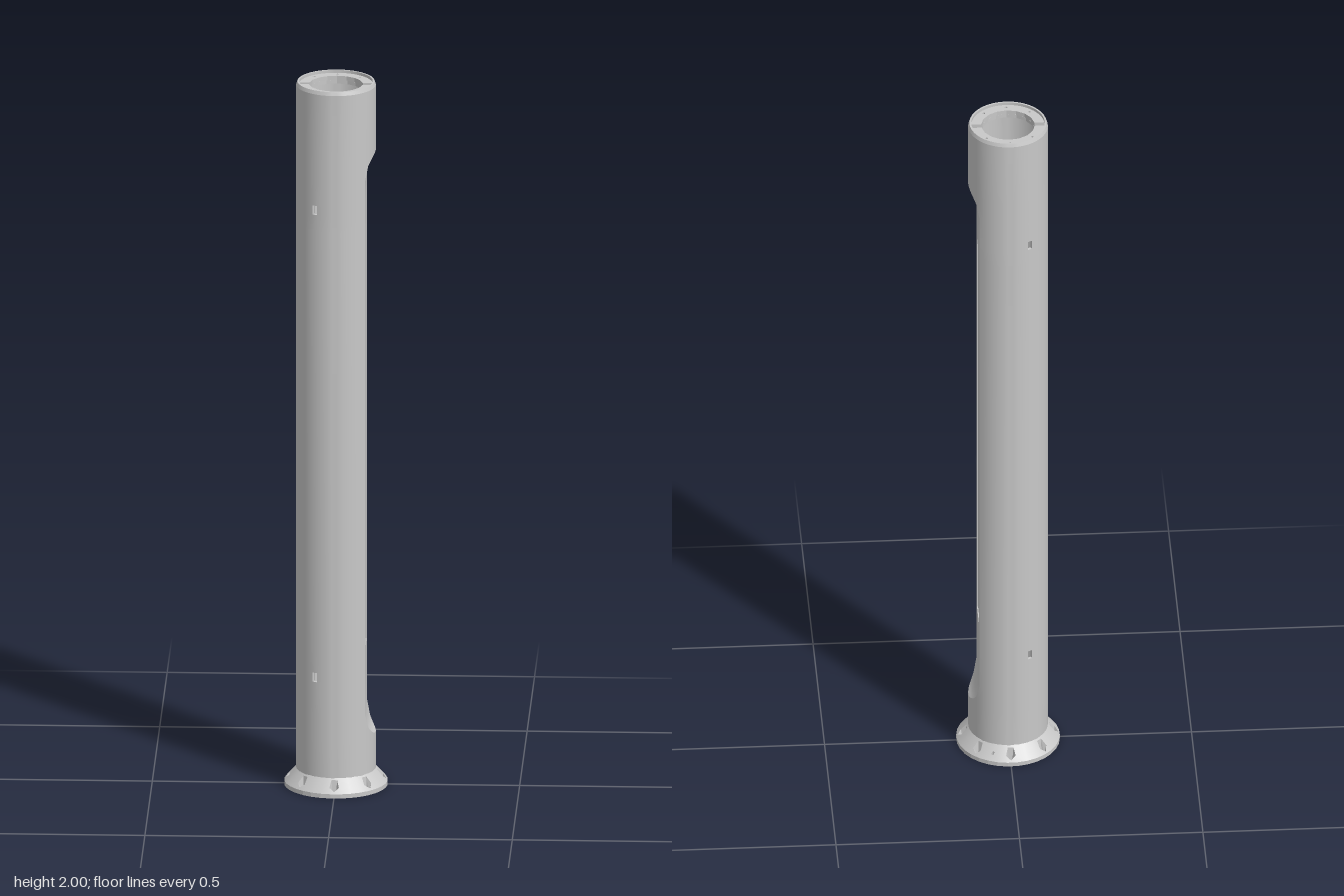
import * as THREE from 'three';
import { toCreasedNormals } from 'three/addons/utils/BufferGeometryUtils.js';

const R = 0.1085, RI = 0.1, N = 48, STEP = Math.PI * 2 / N;
const theta = i => (i + 0.5) * STEP;
const FLAT = R * Math.cos(theta(5));      // x of the milled flat
const CUT = 0.105;                        // radius of the run-out at its ends
const FLAT_LOW = 0.22, FLAT_HIGH = 1.735;
const HOLE_CELLS = [15, 23, 31], HOLE_HEIGHTS = [0.33, 1.66], HOLE_H = 0.026;

// furthest x allowed by the milled flat at height y
function cutX(y) {
  const d = Math.max(0, FLAT_LOW - y, y - FLAT_HIGH);
  return d < CUT ? FLAT + CUT - Math.sqrt(CUT * CUT - d * d) : 1;
}

// rows follow the columns so the edge of the flat stays crisp
function rowHeights(top) {
  const rows = [0, 0.4, 1.6, top];
  for (let k = 0; k <= 5; k++) {
    const rise = R * Math.cos(theta(k)) - FLAT;
    const d = Math.sqrt(Math.max(0, CUT * CUT - (CUT - rise) ** 2));
    rows.push(FLAT_LOW - d, FLAT_HIGH + d);
  }
  HOLE_HEIGHTS.forEach(h => rows.push(h - HOLE_H / 2, h + HOLE_H / 2));
  return rows.sort((a, b) => a - b);
}

// cylinder wall trimmed by the flat, with cells left out for the openings
function wall(radius, inset, top, inner) {
  const rows = rowHeights(top), pos = [];
  const point = (i, y) => [
    Math.min(radius * Math.cos(theta(i)), cutX(y) - inset), y, radius * Math.sin(theta(i))];
  for (let j = 0; j < rows.length - 1; j++) {
    const y0 = rows[j], y1 = rows[j + 1], mid = (y0 + y1) / 2;
    for (let i = 0; i < N; i++) {
      const hole = HOLE_CELLS.includes(i) && HOLE_HEIGHTS.some(h => Math.abs(h - mid) < 0.005);
      const pocket = !inner && (i < 3 || i > 43) && mid > 0.4 && mid < 1.6;
      if (hole || pocket) continue;
      const a = point(i, y0), b = point(i + 1, y0), c = point(i + 1, y1), d = point(i, y1);
      const falling = (Math.sin(theta(i + 0.5)) > 0) === (mid > 1);
      const tris = falling ? [[a, d, b], [b, d, c]] : [[a, d, c], [a, c, b]];
      tris.forEach(t => pos.push(...(inner ? t.reverse() : t).flat()));
    }
  }
  const geo = new THREE.BufferGeometry();
  geo.setAttribute('position', new THREE.Float32BufferAttribute(pos, 3));
  return toCreasedNormals(geo, 0.4);
}

// four inward-facing sides of a rectangular opening whose axis is x
function lining(depth, height, width) {
  const geo = new THREE.CylinderGeometry(Math.SQRT1_2, Math.SQRT1_2, depth, 4, 1, true)
    .rotateY(Math.PI / 4).rotateZ(Math.PI / 2).toNonIndexed().scale(-1, height, width);
  geo.computeVertexNormals();
  return geo;
}

// polygon hole at polar position r, a
function hole(r, a, size, sides = 6) {
  const pts = [];
  for (let k = 0; k < sides; k++) {
    const t = a + k * 2 * Math.PI / sides;
    pts.push(new THREE.Vector2(r * Math.cos(a) + size * Math.cos(t), r * Math.sin(a) + size * Math.sin(t)));
  }
  return new THREE.Path(pts);
}

function plate(shape, depth, y, segments) {
  return new THREE.ExtrudeGeometry(shape, { depth, bevelEnabled: false, curveSegments: segments })
    .rotateX(-Math.PI / 2).translate(0, y, 0);
}

// one eighth of the conical flange, with a bolt hole that narrows downwards
function flangeSector(extraHole) {
  const a0 = -Math.PI / 12, a1 = Math.PI / 6, bolt = 0.1235, edge = 0.141, slope = 1.12;
  const s = new THREE.Shape();
  s.absarc(0, 0, edge, a0, a1, false);
  s.absarc(0, 0, RI - 0.0005, a1, a0, true);
  s.holes.push(hole(bolt, 0, 0.0135, 5));
  if (extraHole) s.holes.push(hole(0.126, Math.PI / 8, 0.004));
  const geo = plate(s, 1, 0, 2);
  const p = geo.attributes.position;
  const onTop = Array.from({ length: p.count }, (_, i) => geo.attributes.normal.getY(i) > 0.9);
  for (let i = 0; i < p.count; i++) {
    const x = p.getX(i), z = p.getZ(i);
    if (p.getY(i) > 0.5) p.setY(i, 0.012 + (edge - Math.hypot(x, z)) * slope);
    else if (Math.hypot(x - bolt, z) < 0.014) p.setXYZ(i, bolt + (x - bolt) * 0.5, 0, z * 0.5);
  }
  geo.computeVertexNormals();
  const n = new THREE.Vector3();
  for (let i = 0; i < p.count; i++) {
    if (!onTop[i]) continue;
    n.set(p.getX(i), 0, p.getZ(i)).setLength(slope).setY(1).normalize();
    geo.attributes.normal.setXYZ(i, n.x, n.y, n.z);
  }
  return geo;
}

export function createModel() {
  const group = new THREE.Group();
  const steel = new THREE.MeshStandardMaterial({ color: 0xc8c8c8, side: THREE.DoubleSide });
  steel.name = 'greySteel';
  const add = (name, geo) => {
    const m = new THREE.Mesh(geo, steel);
    m.name = name;
    group.add(m);
    return m;
  };

  // tube
  add('outerWall', wall(R, 0, 1.99, false));
  add('innerWall', wall(RI, 0.008, 1.985, true));
  const rim = [[R, 1.99], [0.105, 2], [RI, 2], [RI, 1.97]].map(p => new THREE.Vector2(...p));
  add('topRim', toCreasedNormals(new THREE.LatheGeometry(rim, N).rotateY(STEP / 2), 0.4));

  // shallow pocket in the flat
  const pocketW = 2 * R * Math.sin(theta(3)), pocketD = 0.003;
  add('pocketFloor', new THREE.PlaneGeometry(pocketW, 1.2).rotateY(Math.PI / 2))
    .position.set(FLAT - pocketD, 1, 0);
  add('pocketSides', lining(pocketD, 1.2, pocketW)).position.set(FLAT - pocketD / 2, 1, 0);

  // linings of the small side holes
  for (const i of HOLE_CELLS) for (const y of HOLE_HEIGHTS) {
    const a = theta(i + 0.5), mid = (R + RI) / 2 * Math.cos(STEP / 2);
    const m = add('sideHole', lining(R - RI, HOLE_H, 2 * R * Math.sin(STEP / 2)));
    m.position.set(mid * Math.cos(a), y, mid * Math.sin(a));
    m.rotation.y = -a;
  }

  // end plate: a drilled ring carrying two half rings with a gap between them
  const base = new THREE.Shape().absarc(0, 0, 0.103, 0, Math.PI * 2, false);
  base.holes.push(new THREE.Path().absarc(0, 0, 0.073, 0, Math.PI * 2, true));
  for (let k = 0; k < 8; k++) base.holes.push(hole(0.088, k * Math.PI / 4, 0.004));
  add('endPlate', plate(base, 0.01, 1.97, 8));
  for (const turn of [0, Math.PI]) {
    const a = Math.asin(0.008 / 0.103), b = Math.asin(0.008 / 0.073);
    const half = new THREE.Shape();
    half.absarc(0, 0, 0.103, a, Math.PI - a, false);
    half.absarc(0, 0, 0.073, Math.PI - b, b, true);
    for (let k = 1; k < 4; k++) half.holes.push(hole(0.088, k * Math.PI / 4, 0.004));
    add('endPlateHalf', plate(half, 0.012, 1.98, 4)).rotation.y = turn;
  }

  // conical foot flange with bolt holes, one of its sectors with a small pin hole
  for (let k = 0; k < 8; k++) add('footFlange', flangeSector(k === 1)).rotation.y = k * Math.PI / 4;

  return group;
}
